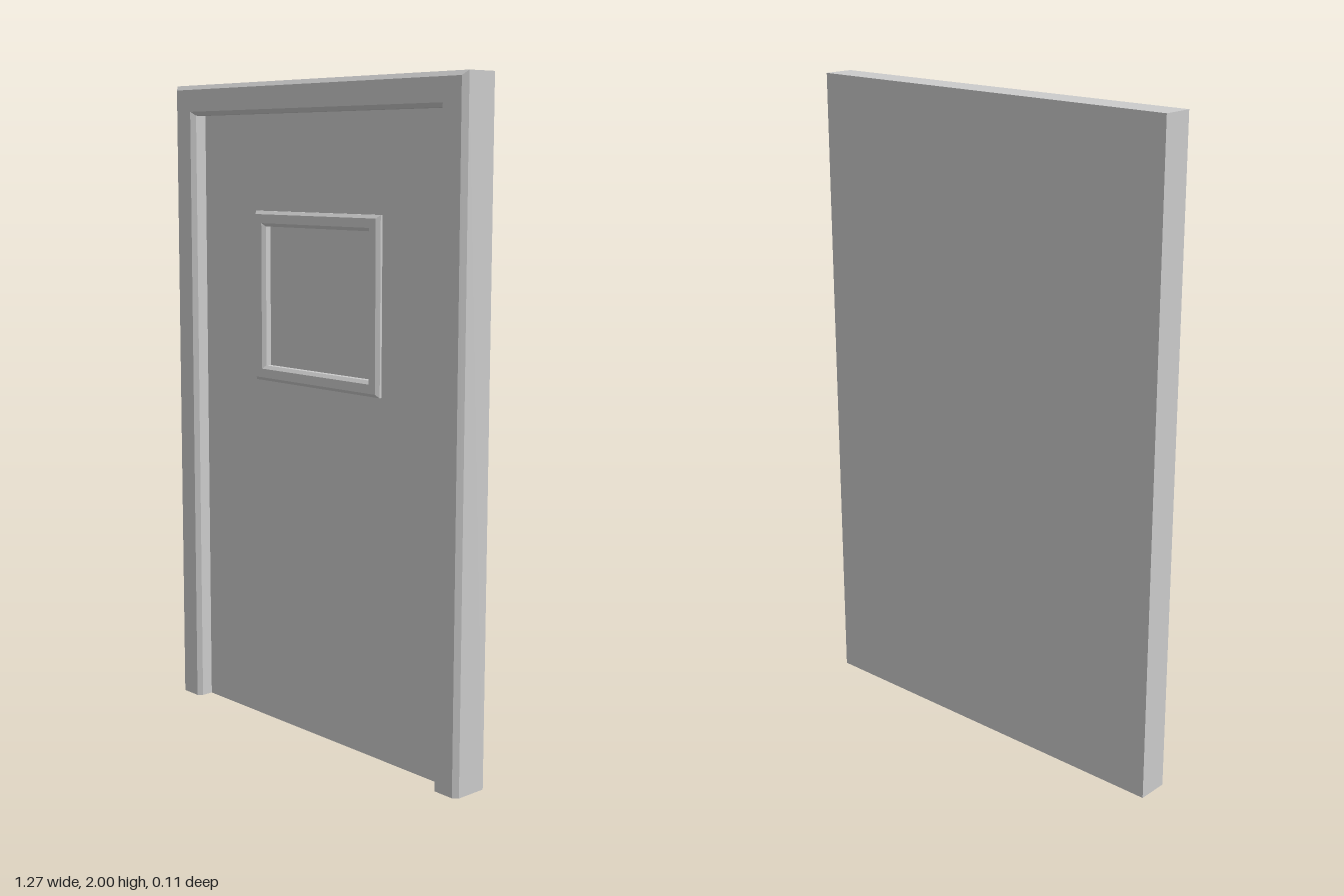
import * as THREE from 'three';

const material = new THREE.MeshStandardMaterial({ color: 0xcccccc, flatShading: true });
const BACK = -0.056;

// One straight moulding from p to q. Profile points are (inset from outline, z);
// mitred ends are cut at 45 degrees. The outline runs counterclockwise.
function rail(profile, p, q, mitreStart, mitreEnd) {
  const shape = new THREE.Shape(profile.map(([u, z]) => new THREE.Vector2(u, z)));
  const geometry = new THREE.ExtrudeGeometry(shape, { depth: 1, bevelEnabled: false });
  const along = new THREE.Vector3(q[0] - p[0], q[1] - p[1], 0);
  const length = along.length();
  along.normalize();
  const pos = geometry.attributes.position;
  for (let i = 0; i < pos.count; i++) {
    const u = pos.getX(i);
    const atStart = pos.getZ(i) < 0.5;
    pos.setZ(i, atStart ? (mitreStart ? u : 0) : length - (mitreEnd ? u : 0));
  }
  const front = new THREE.Vector3(0, 0, 1);
  const inward = new THREE.Vector3().crossVectors(front, along);
  geometry.applyMatrix4(new THREE.Matrix4().makeBasis(inward, front, along).setPosition(p[0], p[1], 0));
  geometry.computeVertexNormals();
  return geometry;
}

function moulding(name, profile, points, closed) {
  const group = new THREE.Group();
  group.name = name;
  const count = closed ? points.length : points.length - 1;
  for (let i = 0; i < count; i++) {
    const q = points[(i + 1) % points.length];
    const geometry = rail(profile, points[i], q, closed || i > 0, closed || i < count - 1);
    const mesh = new THREE.Mesh(geometry, material);
    mesh.name = name + 'Rail' + (i + 1);
    group.add(mesh);
  }
  return group;
}

const rectangle = (x0, x1, y0, y1) => [[x0, y0], [x1, y0], [x1, y1], [x0, y1]];
const toVectors = (points) => points.map(([x, y]) => new THREE.Vector2(x, y));

export function createModel() {
  const model = new THREE.Group();
  model.name = 'door';

  // Door frame: two jambs and a head, chamfered on both front edges
  const frameProfile = [[0, BACK], [0.094, BACK], [0.094, 0.042], [0.082, 0.056], [0.014, 0.056], [0, 0.042]];
  model.add(moulding('doorFrame', frameProfile,
    [[0.635, 0], [0.635, 2], [-0.635, 2], [-0.635, 0]], false));

  // Door leaf with the window opening
  const opening = rectangle(-0.235, 0.226, 1.138, 1.567);
  const leafShape = new THREE.Shape(toVectors(rectangle(-0.541, 0.541, 0, 1.906)));
  leafShape.holes.push(new THREE.Path(toVectors(opening)));
  const leafFront = 0.005;
  const leaf = new THREE.Mesh(
    new THREE.ExtrudeGeometry(leafShape, { depth: leafFront - BACK, bevelEnabled: false }), material);
  leaf.position.z = BACK;
  leaf.name = 'doorLeaf';
  model.add(leaf);

  // Raised window trim
  const trimProfile = [[0, leafFront - 0.01], [0.047, leafFront - 0.01], [0.047, 0.012],
    [0.037, 0.022], [0.01, 0.022], [0, 0.012]];
  model.add(moulding('windowTrim', trimProfile, rectangle(-0.282, 0.273, 1.091, 1.614), true));

  // Recessed window pane, flush with the back of the leaf
  const paneFront = -0.006;
  const pane = new THREE.Mesh(
    new THREE.BoxGeometry(0.461, 0.429, paneFront - BACK), material);
  pane.position.set(-0.0045, 1.3525, (paneFront + BACK) / 2);
  pane.name = 'windowPane';
  model.add(pane);

  return model;
}
